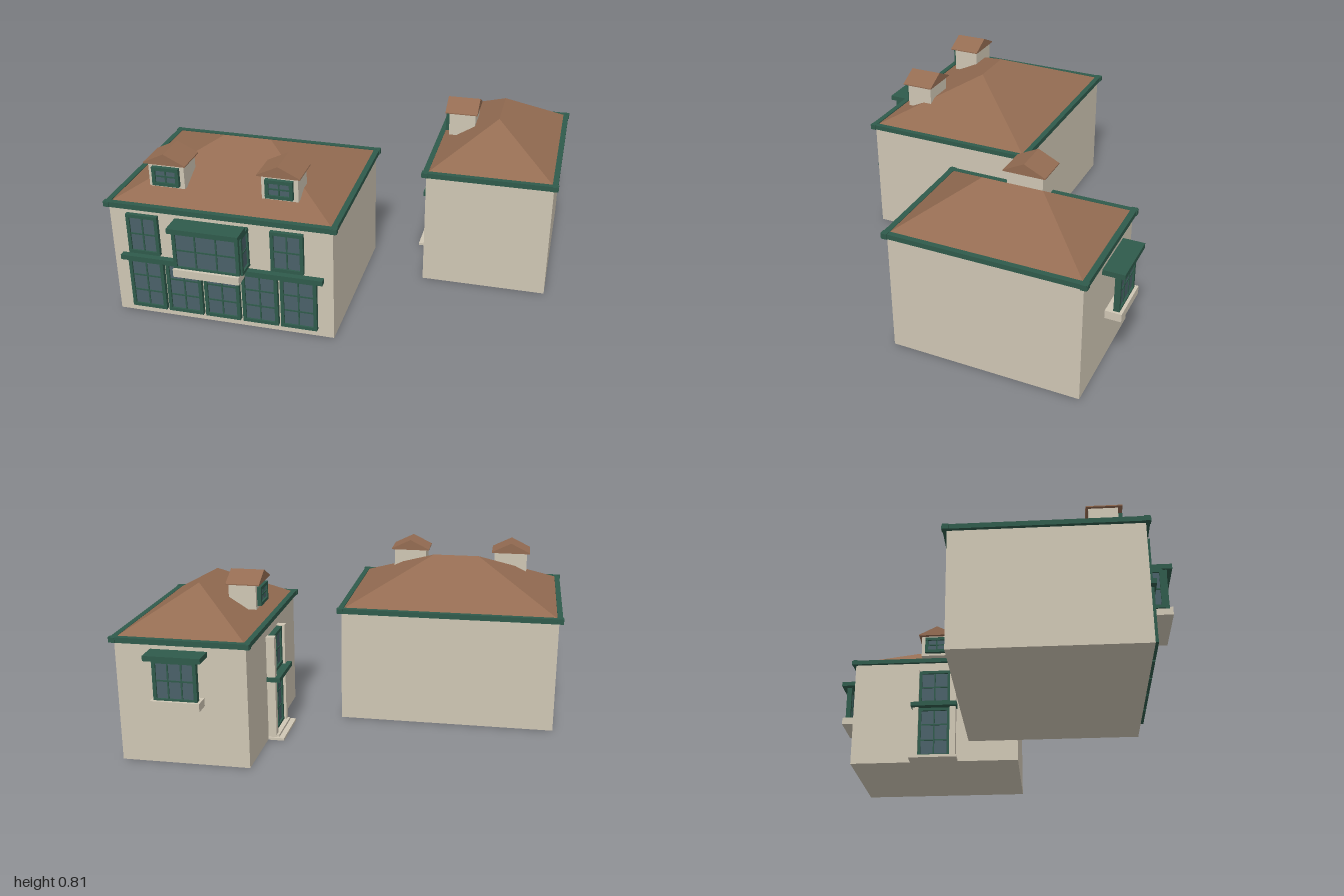
import * as THREE from 'three';

const paint = (color) => new THREE.MeshStandardMaterial({ color, flatShading: true });
const WALL = paint(0xcfc6b4), TILE = paint(0x946c52), TRIM = paint(0x2f5a4b), GLASS = paint(0x4a6068);
TILE.side = THREE.DoubleSide;

function box(parent, name, mat, w, h, d, x, y, z) {
  const m = new THREE.Mesh(new THREE.BoxGeometry(w, h, d), mat);
  m.position.set(x, y, z);
  m.name = name;
  parent.add(m);
  return m;
}

function group(parent, name, x, y, z, turn = 0) {
  const g = new THREE.Group();
  g.name = name;
  g.position.set(x, y, z);
  g.rotation.y = turn;
  parent.add(g);
  return g;
}

// Framed window facing +z, centred on its origin
function glazing(parent, name, w, h, cols, rows, x, y, z, turn = 0, f = 0.016) {
  const g = group(parent, name, x, y, z, turn);
  box(g, 'pane', GLASS, w - f, h - f, 0.01, 0, 0, 0);
  for (const s of [-1, 1]) {
    box(g, 'frameSide', TRIM, f, h, 0.026, s * (w - f) / 2, 0, 0);
    box(g, 'frameRail', TRIM, w, f, 0.028, 0, s * (h - f) / 2, 0);
  }
  for (let i = 1; i < cols; i++) box(g, 'mullion', TRIM, 0.007, h - f, 0.018, (i / cols - 0.5) * (w - f), 0, 0);
  for (let j = 1; j < rows; j++) box(g, 'glazingBar', TRIM, w - f, 0.007, 0.017, 0, (j / rows - 0.5) * (h - f), 0);
  return g;
}

// Hipped roof: a rectangle rising to a ridge along x or z
function hipRoof(parent, w, d, y0, y1, rx, rz) {
  const a = [-w / 2, y0, d / 2], b = [w / 2, y0, d / 2], c = [w / 2, y0, -d / 2], e = [-w / 2, y0, -d / 2];
  const p = [-rx, y1, rz], q = [rx, y1, rz], r = [rx, y1, -rz], s = [-rx, y1, -rz];
  const quads = [[a, b, q, p], [b, c, r, q], [c, e, s, r], [e, a, p, s]];
  const pos = quads.flatMap(([i, j, k, l]) => [i, j, k, i, k, l].flat());
  const geo = new THREE.BufferGeometry();
  geo.setAttribute('position', new THREE.Float32BufferAttribute(pos, 3));
  geo.computeVertexNormals();
  const m = new THREE.Mesh(geo, TILE);
  m.name = 'hipRoof';
  parent.add(m);
}

// Walls, gutter ring and hipped roof of one house
function shell(parent, w, d, h, ridgeY, rx, rz) {
  box(parent, 'walls', WALL, w, h, d, 0, h / 2, 0);
  const W = w + 0.034, D = d + 0.034, t = 0.026, y = h + 0.008;
  for (const s of [-1, 1]) {
    box(parent, 'gutter', TRIM, W + 0.008, 0.025, t, 0, y, s * (D - t) / 2);
    box(parent, 'gutterSide', TRIM, t, 0.023, D + 0.008, s * (W - t) / 2, y, 0);
  }
  hipRoof(parent, W - 0.02, D - 0.02, h + 0.008, ridgeY, rx, rz);
}

// Dormer facing +z with a gabled roof
function dormer(parent, x, y, z, turn = 0) {
  const g = group(parent, 'dormer', x, y, z, turn);
  box(g, 'dormerWalls', WALL, 0.17, 0.125, 0.13, 0, 0.0625, -0.005);
  glazing(g, 'dormerWindow', 0.128, 0.09, 2, 2, 0, 0.058, 0.066);
  const gable = new THREE.Shape([[-0.1, 0.118], [0.1, 0.118], [0.1, 0.123], [0, 0.172], [-0.1, 0.123]]
    .map(([u, v]) => new THREE.Vector2(u, v)));
  const roof = new THREE.Mesh(new THREE.ExtrudeGeometry(gable, { depth: 0.16, bevelEnabled: false }), TILE);
  roof.position.z = -0.08;
  roof.name = 'dormerRoof';
  g.add(roof);
}

// Projecting window with canopy and sill, facing +z
function bay(parent, name, w, canopyW, sillW, z, turn = 0) {
  const g = group(parent, name, 0, 0, 0, turn);
  glazing(g, 'bayWindow', w, 0.195, 3, 2, 0, 0.428, z);
  box(g, 'bayCanopy', TRIM, canopyW, 0.024, 0.098, 0, 0.537, z - 0.011);
  box(g, 'baySill', WALL, sillW, 0.038, 0.074, 0, 0.319, z - 0.009);
  return g;
}

export function createModel() {
  const model = new THREE.Group();
  model.name = 'houses';
  const tilt = 0.0245;

  // Wide house with the glazed front
  const wide = group(model, 'wideHouse', -0.44, 0, 0.325, tilt);
  shell(wide, 1.052, 0.832, 0.556, 0.765, 0.115, 0);
  for (const x of [-0.276, 0.259]) dormer(wide, x, 0.625, 0.258);
  for (const x of [-0.366, 0.318]) glazing(wide, 'upperWindow', 0.152, 0.2, 2, 2, x, 0.427, 0.422);
  for (let i = -2; i <= 2; i++) glazing(wide, 'groundWindow', 0.17, 0.26, 2, 3, i * 0.183, 0.168, 0.424);
  box(wide, 'fasciaBand', TRIM, 0.965, 0.024, 0.036, 0, 0.302, 0.428);
  const front = bay(wide, 'frontBay', 0.31, 0.33, 0.31, 0.516);
  front.position.x = -0.025;
  for (const s of [-1, 1]) {
    glazing(front, 'bayCheek', 0.096, 0.195, 1, 2, s * 0.15, 0.428, 0.463, s * Math.PI / 2);
  }

  // Narrow house with the side door
  const narrow = group(model, 'narrowHouse', 0.668, 0, -0.33, tilt);
  shell(narrow, 0.602, 0.884, 0.572, 0.772, 0, 0.14);
  dormer(narrow, -0.193, 0.638, -0.003, -Math.PI / 2);
  bay(narrow, 'rearBay', 0.2, 0.26, 0.225, 0.517, Math.PI);

  // Entrance on the -x wall, built facing +z and turned
  const door = group(narrow, 'entrance', -0.301, 0, 0, -Math.PI / 2);
  glazing(door, 'door', 0.17, 0.275, 2, 3, 0, 0.157, 0.014);
  glazing(door, 'transomWindow', 0.17, 0.19, 2, 2, 0, 0.415, 0.014);
  for (const s of [-1, 1]) box(door, 'pilaster', WALL, 0.032, 0.515, 0.04, s * 0.1, 0.2575, 0.02);
  box(door, 'doorBand', TRIM, 0.245, 0.022, 0.064, 0, 0.306, 0.032);
  box(door, 'lowerStep', WALL, 0.25, 0.012, 0.078, 0, 0.006, 0.039);
  box(door, 'upperStep', WALL, 0.22, 0.012, 0.052, 0, 0.018, 0.026);
  return model;
}
